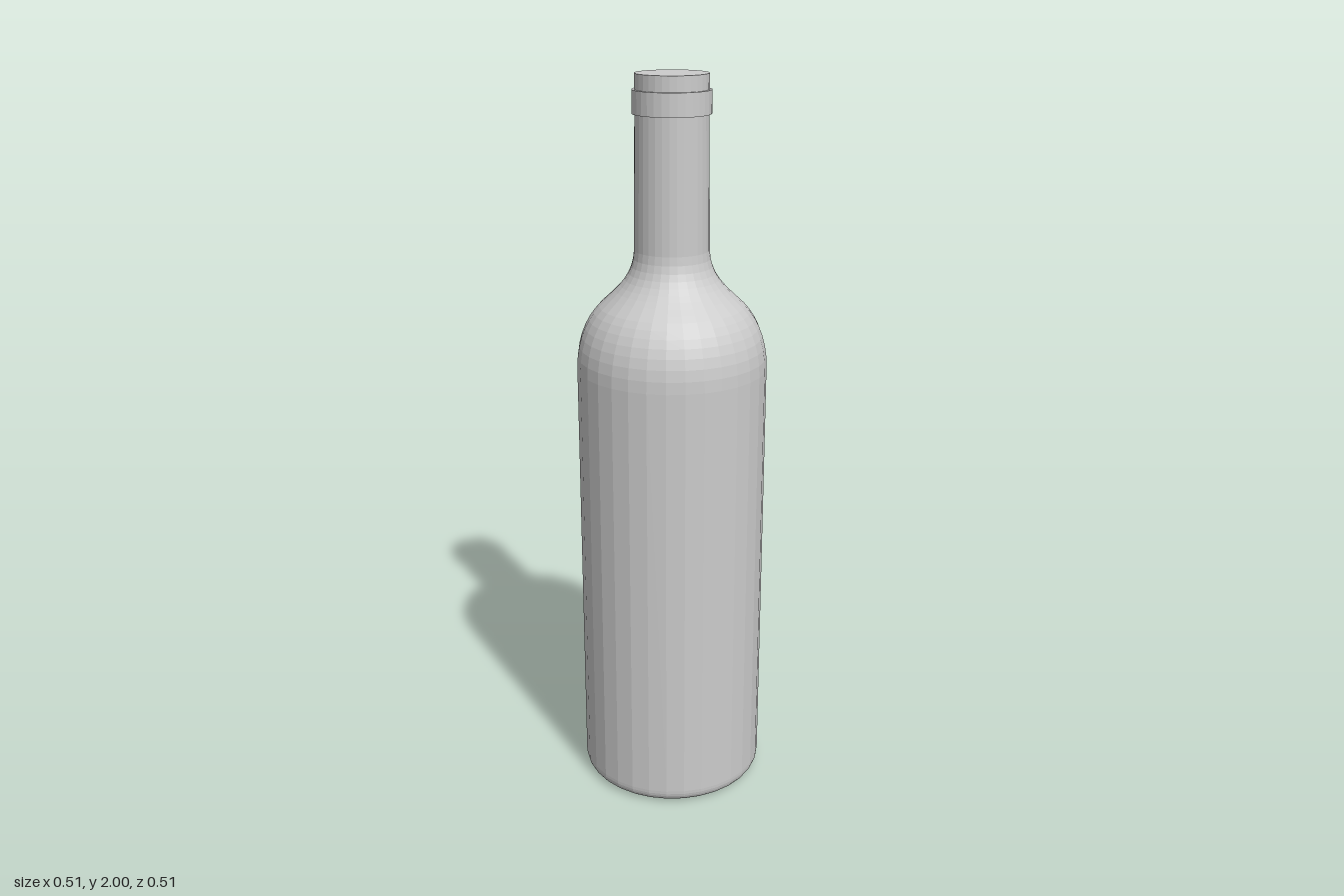
import * as THREE from 'three';

const SIDES = 32;

// Revolve a profile (listed from the base upwards) into a faceted solid
function turned(name, points) {
  const geometry = new THREE.LatheGeometry(points, SIDES).toNonIndexed();
  geometry.computeVertexNormals();
  const mesh = new THREE.Mesh(
    geometry,
    new THREE.MeshStandardMaterial({ color: 0xcccccc, flatShading: true })
  );
  mesh.name = name;
  return mesh;
}

export function createModel() {
  const model = new THREE.Group();
  model.name = 'bottle';

  // Glass body: hollow under the base, rounded heel, straight wall, shoulder, neck
  const profile = new THREE.Path();
  profile.moveTo(0, 0.078);
  profile.bezierCurveTo(0.075, 0.078, 0.06, 0.004, 0.2, 0);
  profile.lineTo(0.222, 0);
  profile.bezierCurveTo(0.243, 0.002, 0.257, 0.014, 0.257, 0.04);
  profile.lineTo(0.257, 1.23);
  profile.bezierCurveTo(0.257, 1.32, 0.222, 1.38, 0.18, 1.415);
  profile.bezierCurveTo(0.14, 1.452, 0.103, 1.485, 0.1, 1.55);
  profile.lineTo(0.096, 1.9);
  profile.lineTo(0.096, 2);
  profile.lineTo(0, 2);
  model.add(turned('bottleBody', profile.getPoints(8)));

  // Raised ring just below the mouth
  const ring = [[0.09, 1.9], [0.103, 1.9], [0.103, 1.96], [0.09, 1.96]];
  model.add(turned('neckRing', ring.map(([r, y]) => new THREE.Vector2(r, y))));

  return model;
}
